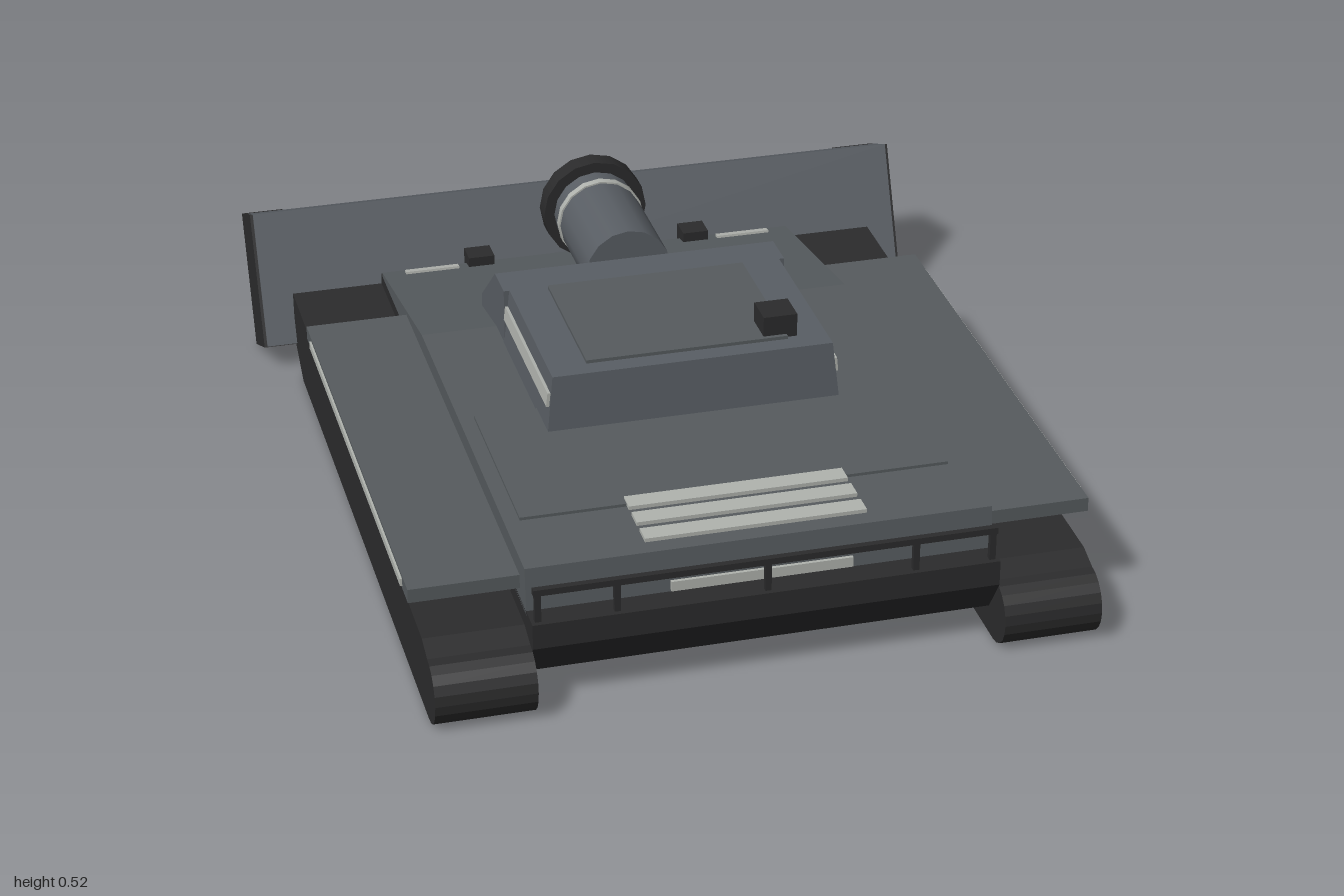
import * as THREE from 'three';

const mat = (name, color, extra = {}) => {
  const m = new THREE.MeshStandardMaterial({ color, ...extra });
  m.name = name;
  return m;
};

export function createModel() {
  const body = mat('body grey', 0x565b5e);
  const armour = mat('armour grey', 0x595e64);
  const dark = mat('charcoal', 0x2b2b2c);
  const wheelGrey = mat('wheel grey', 0x323436);
  const light = mat('pale marking', 0xb0b3ae);
  const root = new THREE.Group();
  root.name = 'plowTank';

  const add = (name, geo, m, parent = root) => {
    const mesh = new THREE.Mesh(geo, m);
    mesh.name = name;
    parent.add(mesh);
    return mesh;
  };
  // Box given by its limits on each axis
  const box = (name, [x0, x1], [y0, y1], [z0, z1], m, parent) => {
    const mesh = add(name, new THREE.BoxGeometry(x1 - x0, y1 - y0, z1 - z0), m, parent);
    mesh.position.set((x0 + x1) / 2, (y0 + y1) / 2, (z0 + z1) / 2);
    return mesh;
  };
  // Side profile of [z, y] points swept across x
  const sweep = (pts, x0, x1, hole) => {
    const vec = (list) => list.map(([z, y]) => new THREE.Vector2(z, y));
    const shape = new THREE.Shape(vec(pts));
    if (hole) shape.holes.push(new THREE.Path(vec(hole)));
    const g = new THREE.ExtrudeGeometry(shape, { depth: x1 - x0, bevelEnabled: false });
    return g.rotateY(-Math.PI / 2).translate(x1, 0, 0);
  };

  // Hull
  add('lowerHull', sweep([[-0.59, 0.35], [0.89, 0.35], [0.95, 0.44], [0.95, 0.5],
    [-0.745, 0.505], [-0.745, 0.465], [-0.65, 0.455]], -0.525, 0.525), dark);
  add('upperHull', sweep([[-0.73, 0.49], [0.89, 0.49], [0.88, 0.6], [-0.22, 0.6],
    [-0.73, 0.515]], -0.525, 0.525), body);
  box('deckPlate', [-0.49, 0.49], [0.6, 0.607], [0.21, 0.68], body);
  for (const z of [0.677, 0.747, 0.818])
    box('deckStripe', [-0.25, 0.25], [0.602, 0.611], [z - 0.023, z + 0.023], light);
  box('noseStripe', [-0.205, 0.205], [0.503, 0.527], [0.887, 0.895], light);

  // Front guard rail
  box('railBar', [-0.52, 0.52], [0.565, 0.58], [0.925, 0.94], dark);
  for (const x of [-0.51, -0.335, 0, 0.335, 0.51])
    box('railPost', [x - 0.007, x + 0.007], [0.495, 0.57], [0.926, 0.939], dark);

  // Track loop, and the same loop moved inwards by the belt thickness
  const loop = [[-0.64, 0.285]];
  for (let i = 0; i <= 10; i++) {
    const a = -Math.PI / 2 + (Math.PI * i) / 10;
    loop.push([0.925 + 0.075 * Math.cos(a), 0.361 + 0.076 * Math.sin(a)]);
  }
  loop.push([0.87, 0.455], [-0.745, 0.478], [-0.735, 0.345]);
  const inner = loop.map((p, i) => {
    const a = loop[(i + loop.length - 1) % loop.length];
    const b = loop[(i + 1) % loop.length];
    const dz = b[0] - a[0], dy = b[1] - a[1], len = Math.hypot(dz, dy);
    return [p[0] - (dy / len) * 0.014, p[1] + (dz / len) * 0.014];
  });

  for (const s of [-1, 1]) {
    const span = (a, b) => (s > 0 ? [a, b] : [-b, -a]);
    const [t0, t1] = span(0.525, 0.75);
    add('track', sweep(loop, t0, t1, inner), dark);
    for (let i = 0; i < 6; i++) {
      const wheel = add('roadWheel', new THREE.CylinderGeometry(0.065, 0.065, 0.2, 20), wheelGrey);
      wheel.rotation.z = Math.PI / 2;
      wheel.position.set(s * 0.645, 0.362, 0.756 - 0.252 * i);
    }
    // Fender with its side marking
    box('fender', span(0.52, 0.77), [0.523, 0.556], [-0.415, 0.83], body);
    box('fenderStripe', span(0.768, 0.775), [0.531, 0.549], [-0.35, 0.77], light);
    // Rear deck fittings
    box('rearLug', span(0.245, 0.31), [0.5, 0.545], [-0.755, -0.695], dark);
    const rear = box('rearStripe', span(0.335, 0.47), [0.518, 0.525], [-0.715, -0.695], light);
    rear.rotation.x = -0.165;
  }

  // Turret: tapered block, rear wedge, hatch and sight
  const turretGeo = new THREE.BoxGeometry(0.69, 0.145, 0.465);
  const taper = (y) => 1 - 0.045 * ((y + 0.0725) / 0.145);
  const p = turretGeo.attributes.position;
  for (let i = 0; i < p.count; i++) {
    const k = taper(p.getY(i));
    p.setX(i, p.getX(i) * k);
    p.setZ(i, p.getZ(i) * k);
  }
  turretGeo.computeVertexNormals();
  add('turret', turretGeo, armour).position.set(0, 0.6675, 0.0925);
  box('turretHatch', [-0.24, 0.235], [0.735, 0.748], [-0.115, 0.27], body);
  box('sight', [0.18, 0.26], [0.735, 0.796], [0.18, 0.26], dark);
  add('turretRear', sweep([[-0.385, 0.57], [-0.13, 0.57], [-0.13, 0.738], [-0.225, 0.738],
    [-0.385, 0.605]], -0.343, 0.343), armour);
  for (const s of [-1, 1]) {
    const side = add('turretStripe', new THREE.BoxGeometry(0.008, 0.034, 0.44), light);
    side.position.set(s * 0.339, 0.682, 0.0925);
    side.rotation.z = s * 0.106;
    const back = add('wedgeStripe', new THREE.BoxGeometry(0.17, 0.007, 0.026), light);
    back.position.set(s * 0.195, 0.639, -0.345);
    back.rotation.x = -0.693;
  }

  // Rear barrel with band and muzzle ring
  const ring = (name, r, z0, z1, m) => {
    const mesh = add(name, new THREE.CylinderGeometry(r, r, z1 - z0, 16), m);
    mesh.rotation.x = Math.PI / 2;
    mesh.position.set(0, 0.672, (z0 + z1) / 2);
  };
  ring('barrel', 0.104, -0.66, -0.29, armour);
  ring('barrelBand', 0.108, -0.585, -0.565, light);
  ring('muzzle', 0.13, -0.68, -0.63, dark);

  // Tilted rear blade
  const blade = new THREE.Group();
  blade.name = 'blade';
  blade.position.set(0, 0.473, -0.856);
  blade.rotation.x = -0.415;
  root.add(blade);
  box('bladePlate', [-0.825, 0.825], [-0.166, 0.166], [-0.017, 0.083], armour, blade);
  for (const s of [-1, 1]) {
    const span = s > 0 ? [0.73, 0.832] : [-0.832, -0.73];
    box('bladeEnd', span, [-0.168, 0.165], [-0.083, 0.078], dark, blade);
  }
  for (const x of [-0.5, 0, 0.5])
    box('bladePad', [x - 0.15, x + 0.15], [-0.06, 0.075], [-0.042, -0.015], dark, blade);
  box('bladeStripe', [-0.7, 0.7], [0.135, 0.15], [-0.021, -0.015], light, blade);

  return root;
}
